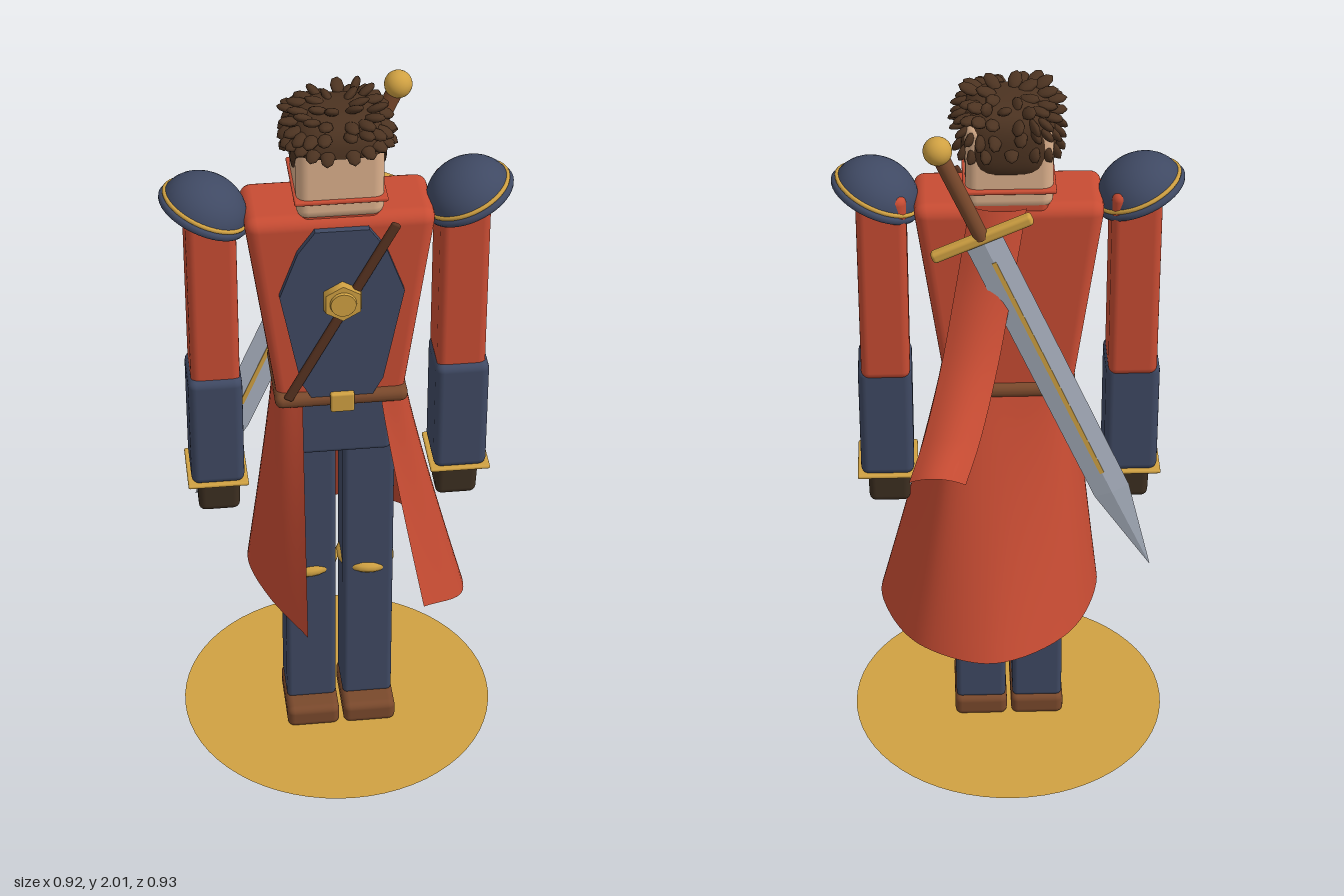
import * as THREE from 'three';
import { RoundedBoxGeometry } from 'three/addons/geometries/RoundedBoxGeometry.js';

const mat = (name, color, side = THREE.FrontSide) => {
  const m = new THREE.MeshStandardMaterial({ color, side });
  m.name = name;
  return m;
};
const V = (x, y, z) => new THREE.Vector3(x, y, z);
const lerp = THREE.MathUtils.lerp;

export function createModel() {
  const root = new THREE.Group();
  const red = mat('coatRed', 0xc84c33, THREE.DoubleSide);
  const navy = mat('navyCloth', 0x3f4963);
  const gold = mat('gold', 0xd0a142, THREE.DoubleSide);
  const leather = mat('brownLeather', 0x7a492c);
  const strapMat = mat('darkLeather', 0x573220);
  const glove = mat('gloveBrown', 0x3c2e20);
  const hairMat = mat('hairBrown', 0x4c3321);
  const skin = mat('skin', 0xdcb08c);
  const steel = mat('steel', 0xaab2c0);

  const add = (name, geo, material, x = 0, y = 0, z = 0, parent = root) => {
    const m = new THREE.Mesh(geo, material);
    m.name = name;
    m.position.set(x, y, z);
    parent.add(m);
    return m;
  };
  // Rounded box given by its limits; bottom can be narrowed
  const block = (name, material, [x0, x1], [y0, y1], [z0, z1], r = 0.015, bx = 1, bz = 1) => {
    const h = y1 - y0;
    const g = new RoundedBoxGeometry(x1 - x0, h, z1 - z0, 3, r);
    const p = g.attributes.position;
    for (let i = 0; i < p.count; i++) {
      const t = 0.5 - p.getY(i) / h;
      p.setX(i, p.getX(i) * lerp(1, bx, t));
      p.setZ(i, p.getZ(i) * lerp(1, bz, t));
    }
    return add(name, g, material, (x0 + x1) / 2, (y0 + y1) / 2, (z0 + z1) / 2);
  };
  // Sheet whose points follow f(u, v)
  const sheet = (name, material, nu, nv, f) => {
    const g = new THREE.PlaneGeometry(1, 1, nu, nv);
    const p = g.attributes.position, uv = g.attributes.uv;
    for (let i = 0; i < p.count; i++) {
      const q = f(uv.getX(i), 1 - uv.getY(i));
      p.setXYZ(i, q.x, q.y, q.z);
    }
    g.computeVertexNormals();
    return add(name, g, material);
  };

  // Ground disc
  add('groundDisc', new THREE.CircleGeometry(0.446, 64).rotateX(-Math.PI / 2), gold, 0, 0.004, 0.019);

  // Legs, boots, arms and shoulder guards, mirrored
  for (const s of [-1, 1]) {
    const span = (a, b) => (s > 0 ? [a, b] : [-b, -a]);
    block('leg', navy, span(0.01, 0.152), [0.06, 1.02], [-0.05, 0.092]);
    block('boot', leather, span(0.006, 0.156), [0, 0.068], [-0.06, 0.155], 0.02);
    const knee = add('kneeBand', new THREE.SphereGeometry(1, 24, 12), gold, s * 0.08, 0.53, 0.022);
    knee.scale.set(0.083, 0.034, 0.083);
    knee.rotation.z = s * -0.1;

    block('upperArm', red, span(0.265, 0.396), [1.18, 1.73], [-0.078, 0.085], 0.022);
    block('forearm', navy, span(0.26, 0.405), [0.865, 1.205], [-0.07, 0.1], 0.022);
    block('cuffTrim', gold, span(0.25, 0.415), [0.858, 0.869], [-0.075, 0.105], 0.005);
    block('glove', glove, span(0.27, 0.388), [0.745, 0.862], [-0.04, 0.078], 0.02, 0.95, 0.7);

    const guard = new THREE.Group();
    guard.name = 'shoulderGuard';
    guard.position.set(s * 0.345, 1.692, 0.02);
    guard.rotation.z = s * 0.42;
    root.add(guard);
    const dome = new THREE.SphereGeometry(0.116, 32, 12, 0, Math.PI * 2, 0, Math.PI / 2).scale(1, 0.84, 1);
    add('dome', dome, navy, 0, 0, 0, guard);
    add('underside', new THREE.CircleGeometry(0.116, 32).rotateX(Math.PI / 2), navy, 0, 0, 0, guard);
    const ring = (r, t) => new THREE.TorusGeometry(r, t, 8, 40).rotateX(Math.PI / 2);
    add('rim', ring(0.113, 0.011), navy, 0, 0, 0, guard);
    add('trim', ring(0.114, 0.006), gold, 0, 0.016, 0, guard);
  }

  // Body
  block('hips', navy, [-0.135, 0.135], [0.965, 1.15], [-0.07, 0.125]);
  block('torso', red, [-0.25, 0.25], [1.13, 1.71], [-0.092, 0.127], 0.035, 0.67, 1);
  block('collar', red, [-0.108, 0.108], [1.68, 1.755], [-0.095, 0.12], 0.02, 0.9, 0.9);
  block('collarLip', red, [-0.12, 0.12], [1.752, 1.764], [-0.105, 0.13], 0.005);
  block('belt', leather, [-0.178, 0.178], [1.134, 1.176], [-0.11, 0.15], 0.02);
  block('buckle', gold, [-0.032, 0.032], [1.125, 1.183], [0.13, 0.16], 0.006);

  // Chest panel, strap and medallion
  const panel = new THREE.Shape([[-0.08, 1.165], [0.08, 1.165], [0.11, 1.22], [0.163, 1.49], [0.115, 1.62], [0.07, 1.682],
    [-0.07, 1.682], [-0.115, 1.62], [-0.163, 1.49], [-0.11, 1.22]].map(([x, y]) => new THREE.Vector2(x, y)));
  add('chestPanel', new THREE.ExtrudeGeometry(panel, { depth: 0.02, bevelEnabled: false }), navy, 0, 0, 0.125);
  const strap = add('chestStrap', new RoundedBoxGeometry(0.026, 0.6, 0.014, 2, 0.006), strapMat, -0.003, 1.435, 0.151);
  strap.rotation.z = -0.495;
  const disc = (r, d, n) => new THREE.CylinderGeometry(r * 0.92, r, d, n).rotateX(Math.PI / 2);
  add('medallion', disc(0.057, 0.02, 6), gold, 0, 1.475, 0.158);
  add('medallionBoss', disc(0.036, 0.012, 24), gold, 0, 1.475, 0.17);

  // Open coat skirt blown back and to one side
  const waist = new THREE.CatmullRomCurve3([V(-0.105, 1.15, 0.143), V(-0.168, 1.15, 0.11), V(-0.175, 1.15, 0), V(-0.14, 1.15, -0.085),
    V(0, 1.15, -0.1), V(0.14, 1.15, -0.085), V(0.175, 1.15, 0), V(0.168, 1.15, 0.11), V(0.105, 1.15, 0.143)]);
  const hem = new THREE.CatmullRomCurve3([V(-0.105, 0.41, 0.235), V(-0.205, 0.47, 0.11), V(-0.248, 0.49, -0.05), V(-0.16, 0.46, -0.26),
    V(0.05, 0.44, -0.367), V(0.24, 0.44, -0.29), V(0.34, 0.42, -0.1), V(0.355, 0.41, 0.08), V(0.22, 0.49, 0.233)]);
  sheet('coatSkirt', red, 64, 16, (u, v) => {
    const a = waist.getPoint(u), b = hem.getPoint(u), w = Math.pow(v, 1.1);
    return V(lerp(a.x, b.x, w), lerp(a.y, b.y, v), lerp(a.z, b.z, w));
  });

  // Scarf tail
  const tail = new THREE.CatmullRomCurve3([V(0.03, 1.715, -0.1), V(0.07, 1.5, -0.155), V(0.11, 1.32, -0.24),
    V(0.16, 1.17, -0.36), V(0.198, 1.095, -0.44)]);
  sheet('scarfTail', red, 8, 28, (u, v) => {
    const c = tail.getPoint(v), k = 2 * u - 1, bulge = 1 - k * k;
    return V(c.x + k * 0.073, c.y + bulge * 0.03 * v, c.z + k * 0.008 - bulge * 0.022);
  });

  // Head and hair
  block('head', skin, [-0.113, 0.113], [1.7, 1.94], [-0.094, 0.122], 0.03);
  const hair = new THREE.Group();
  hair.name = 'hair';
  root.add(hair);
  const soft = (a, e) => Math.sign(a) * Math.pow(Math.abs(a), e);
  const cap = new THREE.SphereGeometry(1, 40, 24);
  const cp = cap.attributes.position;
  for (let i = 0; i < cp.count; i++) {
    const x = soft(cp.getX(i), 0.6) * 0.124, z = 0.02 + soft(cp.getZ(i), 0.6) * 0.128;
    const low = lerp(1.8, 1.895, THREE.MathUtils.smoothstep(z, 0.02, 0.13));
    cp.setXYZ(i, x, Math.max(1.875 + soft(cp.getY(i), 0.7) * 0.105, low), z);
  }
  cap.computeVertexNormals();
  add('hairCap', cap, hairMat, 0, 0, 0, hair);
  const tuftGeo = new THREE.SphereGeometry(1, 8, 6).scale(0.019, 0.011, 0.03);
  const rings = [[1.982, 7, 0.055, 0.35], [1.972, 15, 0.1, 0.2], [1.945, 20, 0.122, -0.1], [1.91, 22, 0.127, -0.5], [1.865, 18, 0.125, -0.9]];
  rings.forEach(([y, n, r, tilt], k) => {
    for (let i = 0; i < n; i++) {
      const a = ((i + k * 0.37) / n) * Math.PI * 2, wob = Math.sin(i * 7.3 + k * 2.1);
      const cx = soft(Math.cos(a), 0.7), cz = soft(Math.sin(a), 0.7);
      if (k === 4 && cz > -0.1) continue;
      const t = add('tuft', tuftGeo, hairMat, cx * r, y + wob * 0.008, 0.02 + cz * r, hair);
      t.quaternion.setFromUnitVectors(V(0, 0, 1), V(Math.cos(a), tilt + wob * 0.25, Math.sin(a)).normalize());
    }
  });

  // Sword across the back, built upward from its tip
  const sword = new THREE.Group();
  sword.name = 'sword';
  sword.position.set(-0.382, 0.63, -0.175);
  sword.rotation.z = -0.413;
  root.add(sword);
  const blade = new THREE.CylinderGeometry(1, 1, 1.13, 4, 2).toNonIndexed();
  const bp = blade.attributes.position;
  for (let i = 0; i < bp.count; i++) {
    const y = bp.getY(i);
    const w = y < -0.1 ? 0.001 : 0.05;
    bp.setXYZ(i, bp.getX(i) * w, y < -0.1 ? 0 : y < 0.1 ? 0.27 : 1.13, bp.getZ(i) * w * 0.2);
  }
  blade.computeVertexNormals();
  add('blade', blade, steel, 0, 0, 0, sword);
  add('bladeInlay', new THREE.BoxGeometry(0.012, 0.72, 0.023), gold, 0, 0.7, 0, sword);
  add('crossGuard', new RoundedBoxGeometry(0.28, 0.03, 0.032, 2, 0.01), gold, 0, 1.135, 0, sword);
  add('grip', new THREE.CylinderGeometry(0.022, 0.02, 0.25, 16), leather, 0, 1.26, 0, sword);
  add('pommel', new THREE.SphereGeometry(0.037, 24, 16), gold, 0, 1.408, 0, sword);

  return root;
}
